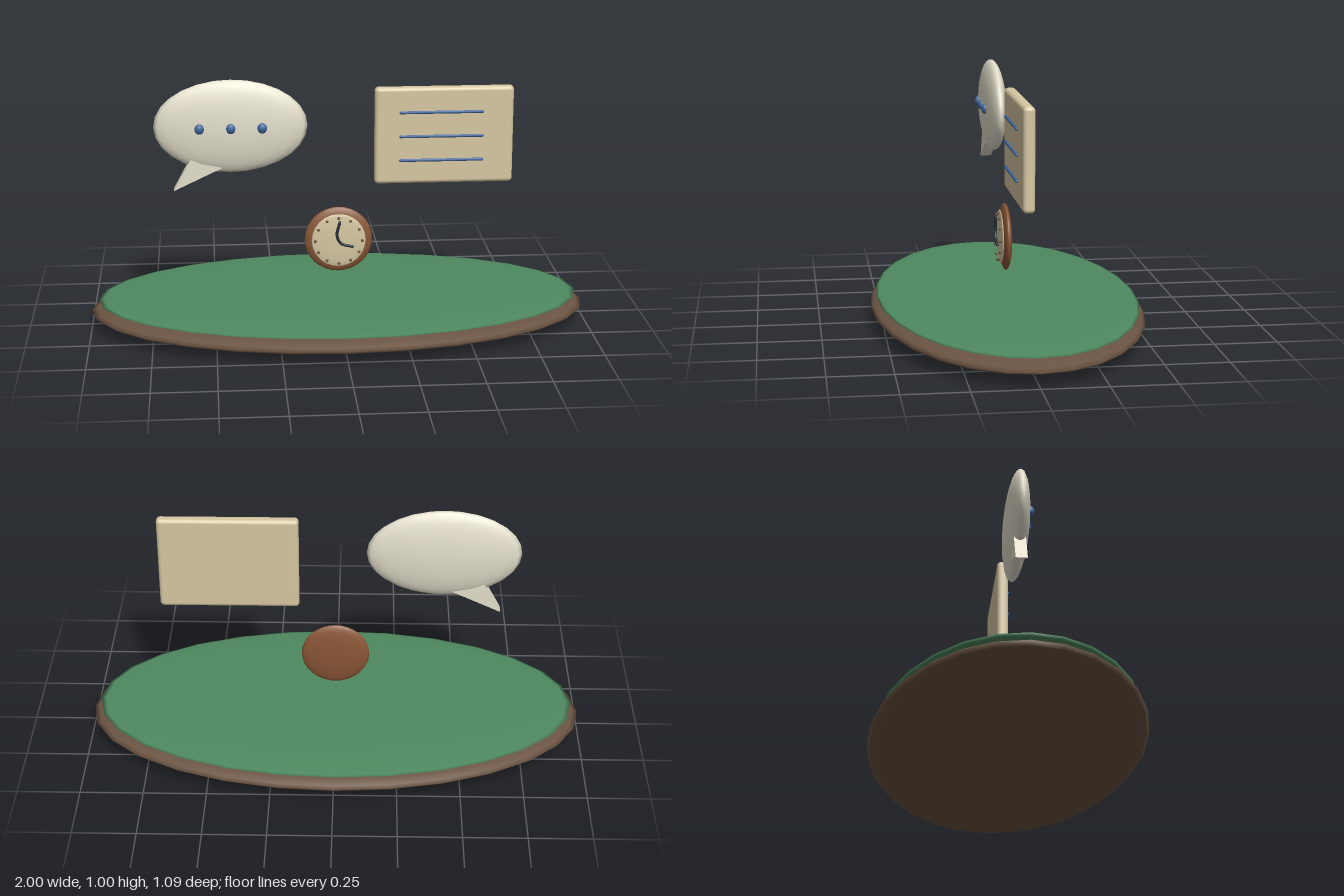
import * as THREE from 'three';
import { RoundedBoxGeometry } from 'three/addons/geometries/RoundedBoxGeometry.js';

const mat = (color) => new THREE.MeshStandardMaterial({ color });
const wood = mat(0x6b5442), felt = mat(0x4f8a60), clockWood = mat(0x8a5636);
const paper = mat(0xd6c7a2), cream = mat(0xe4dfcc), blue = mat(0x41689f);
const dark = mat(0x26323a), bronze = mat(0x6b5234);

export function createModel() {
  const model = new THREE.Group();

  const add = (name, geometry, material, parent, x = 0, y = 0, z = 0) => {
    const mesh = new THREE.Mesh(geometry, material);
    mesh.name = name;
    mesh.position.set(x, y, z);
    parent.add(mesh);
    return mesh;
  };
  const ellipsoid = (rx, ry, rz, w = 28, h = 16) =>
    new THREE.SphereGeometry(1, w, h).scale(rx, ry, rz);
  const group = (name, x, y) => {
    const g = new THREE.Group();
    g.name = name;
    g.position.set(x, y, 0);
    model.add(g);
    return g;
  };

  // Oval table top: wooden body with a felt surface
  add('tableBase', ellipsoid(1, 0.06, 0.545), wood, model, 0, 0.06, 0);
  add('tableFelt', ellipsoid(0.97, 0.018, 0.522), felt, model, 0, 0.105, 0);

  // Speech bubble with a triangular tail and three dots
  const bubble = group('speechBubble', -0.428, 0.817);
  add('bubbleBody', ellipsoid(0.305, 0.188, 0.048, 20, 14), cream, bubble);
  const tail = new THREE.Shape([
    new THREE.Vector2(-0.23, -0.257),
    new THREE.Vector2(-0.035, -0.165),
    new THREE.Vector2(-0.16, -0.128),
  ]);
  add('bubbleTail', new THREE.ExtrudeGeometry(tail, { depth: 0.046, bevelEnabled: false }),
    cream, bubble, 0, 0, -0.023);
  for (const x of [-0.124, 0, 0.124]) {
    add('bubbleDot', ellipsoid(0.019, 0.021, 0.015, 12, 10), blue, bubble, x, 0, 0.045);
  }

  // Note card with three written lines
  const note = group('noteCard', 0.422, 0.768);
  add('card', new RoundedBoxGeometry(0.556, 0.394, 0.046, 3, 0.016), paper, note);
  for (const y of [0.098, 0, -0.098]) {
    add('cardLine', new THREE.CapsuleGeometry(0.006, 0.326, 4, 8).rotateZ(Math.PI / 2),
      blue, note, -0.012, y, 0.03);
  }

  // Clock: rounded case, face, hour marks and hands
  const clock = group('clock', 0, 0.339);
  add('clockCase', ellipsoid(0.137, 0.135, 0.024, 24, 16), clockWood, clock);
  add('clockFace', ellipsoid(0.11, 0.11, 0.008, 24, 12), paper, clock, 0, 0, 0.02);
  for (let i = 0; i < 12; i++) {
    const a = (i / 12) * Math.PI * 2;
    add('hourMark', new THREE.SphereGeometry(0.006, 8, 6), bronze, clock,
      0.095 * Math.sin(a), 0.095 * Math.cos(a), 0.03);
  }
  const path = new THREE.CatmullRomCurve3([
    new THREE.Vector3(0.003, 0.08, 0),
    new THREE.Vector3(-0.008, 0.025, 0),
    new THREE.Vector3(0.008, -0.008, 0),
    new THREE.Vector3(0.054, -0.022, 0),
  ]);
  add('clockHands', new THREE.TubeGeometry(path, 20, 0.006, 8), dark, clock, 0, 0, 0.038);
  for (const t of [0, 1]) {
    const p = path.getPoint(t);
    add('handTip', new THREE.SphereGeometry(0.006, 8, 6), dark, clock, p.x, p.y, 0.038);
  }

  return model;
}
